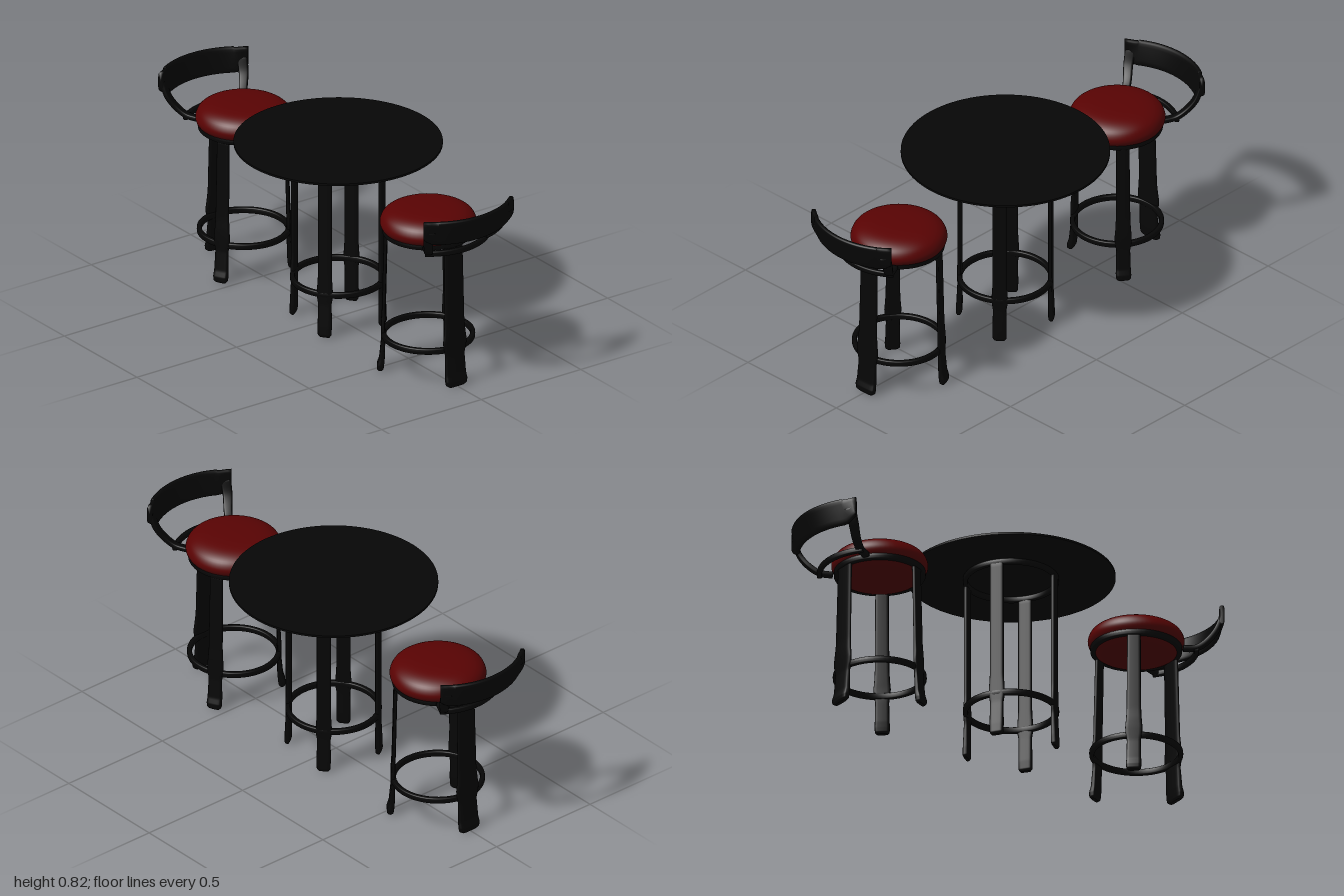
import * as THREE from 'three';

const black = new THREE.MeshStandardMaterial({ color: 0x060606 });
const red = new THREE.MeshStandardMaterial({ color: 0x590303 });
const V = (x, y, z) => new THREE.Vector3(x, y, z);
const soft = v => Math.sign(v) * Math.sqrt(Math.abs(v)); // rounds a circle towards a rectangle
const SIDES = 20;

function add(parent, name, geometry, material = black) {
  const mesh = new THREE.Mesh(geometry, material);
  mesh.name = name;
  parent.add(mesh);
  return mesh;
}

// Sweeps a rounded-rectangle section along a curve.
// hint(p, t): rough direction of the section's width; size(t): [half width, half depth]
function sweep(curve, steps, hint, size) {
  const pos = [], idx = [], stride = SIDES + 1;
  for (let i = 0; i <= steps; i++) {
    const t = i / steps, p = curve.getPoint(t), w = curve.getTangent(t);
    const u = hint(p, t);
    u.addScaledVector(w, -u.dot(w)).normalize();
    const v = V(0, 0, 0).crossVectors(w, u);
    const [a, b] = size(t);
    for (let j = 0; j < SIDES; j++) {
      const ang = j / SIDES * Math.PI * 2;
      const q = p.clone().addScaledVector(u, a * soft(Math.cos(ang))).addScaledVector(v, b * soft(Math.sin(ang)));
      pos.push(q.x, q.y, q.z);
    }
    pos.push(p.x, p.y, p.z); // section centre, used by the end caps
  }
  for (let j = 0; j < SIDES; j++) {
    const k = (j + 1) % SIDES;
    for (let i = 0; i < steps; i++) {
      const a = i * stride, b = a + stride;
      idx.push(a + j, a + k, b + k, a + j, b + k, b + j);
    }
    const e = steps * stride;
    idx.push(SIDES, k, j, e + SIDES, e + j, e + k);
  }
  const g = new THREE.BufferGeometry();
  g.setAttribute('position', new THREE.Float32BufferAttribute(pos, 3));
  g.setIndex(idx);
  g.computeVertexNormals();
  return g;
}

// Flat ring with rounded edges, lying around the y axis
function ring(radius, y, halfWidth, halfHeight) {
  const profile = [];
  for (let i = 0; i <= 16; i++) {
    const a = i / 16 * Math.PI * 2;
    profile.push(new THREE.Vector2(radius + halfWidth * soft(Math.cos(a)), y + halfHeight * soft(Math.sin(a))));
  }
  return new THREE.LatheGeometry(profile, 64);
}

// Piecewise-linear lookup of rows [y, ...values]
function lookup(rows, y) {
  let i = 0;
  while (i < rows.length - 2 && y > rows[i + 1][0]) i++;
  const a = rows[i], b = rows[i + 1];
  const k = THREE.MathUtils.clamp((y - a[0]) / (b[0] - a[0]), 0, 1);
  return a.slice(1).map((v, n) => v + (b[n + 1] - v) * k);
}

// Flat legs, swelling at the foot ring and kicked out at the floor
// rows: [y, half width, half depth, radius from centre]
function addLegs(parent, rows, degrees, widthScale = 1) {
  const curve = new THREE.Curve();
  const top = rows[rows.length - 1][0], low = rows[0][0];
  const yAt = t => low + (top - low) * t * t; // denser near the foot
  curve.getPoint = t => V(0, yAt(t), lookup(rows, yAt(t))[2]);
  curve.getTangent = () => V(0, 1, 0);
  const geometry = sweep(curve, 64, () => V(1, 0, 0), t => {
    const [a, b] = lookup(rows, yAt(t));
    return [a * widthScale, b];
  });
  for (const d of degrees) add(parent, 'leg', geometry).rotation.y = THREE.MathUtils.degToRad(d);
}

const stoolLeg = [
  [0.004, 0.036, 0.008, 0.194], [0.012, 0.048, 0.014, 0.194], [0.03, 0.051, 0.015, 0.193],
  [0.055, 0.049, 0.012, 0.188], [0.14, 0.046, 0.009, 0.183], [0.17, 0.054, 0.009, 0.183],
  [0.2, 0.057, 0.009, 0.183], [0.235, 0.052, 0.009, 0.182], [0.28, 0.048, 0.008, 0.18],
  [0.63, 0.044, 0.008, 0.172],
];
const tableLeg = [
  [0.004, 0.021, 0.007, 0.189], [0.014, 0.028, 0.012, 0.189], [0.05, 0.029, 0.012, 0.188],
  [0.15, 0.028, 0.009, 0.186], [0.18, 0.033, 0.009, 0.186], [0.21, 0.033, 0.009, 0.186],
  [0.27, 0.029, 0.009, 0.186], [0.775, 0.029, 0.009, 0.186],
];

// Horizontal arc about the z axis, from -angle to +angle
function arc(radius, angle, centreZ, height) {
  const c = new THREE.Curve();
  c.getPoint = t => {
    const a = (t * 2 - 1) * angle, r = radius(t);
    return V(r * Math.sin(a), height(t), centreZ + r * Math.cos(a));
  };
  return c;
}

function makeStool() {
  const stool = new THREE.Group();
  stool.name = 'stool';

  // Padded seat
  const half = [[0, 0.598], [0.1, 0.6], [0.15, 0.61], [0.18, 0.632], [0.195, 0.655], [0.195, 0.678],
    [0.18, 0.704], [0.145, 0.723], [0.09, 0.733], [0, 0.737]];
  const outline = new THREE.SplineCurve(half.map(p => new THREE.Vector2(...p))).getPoints(36);
  outline.forEach(p => { p.x = Math.max(p.x, 0); });
  add(stool, 'seatCushion', new THREE.LatheGeometry(outline, 64), red);
  add(stool, 'seatRing', ring(0.175, 0.631, 0.012, 0.014));
  add(stool, 'footRing', ring(0.181, 0.167, 0.01, 0.013));

  // One broad leg at the back, two slimmer ones in front
  addLegs(stool, stoolLeg, [0]);
  addLegs(stool, stoolLeg, [115, -128], 0.62);

  // Curved backrest, leaning outwards in the middle and narrowing at both ends
  const ends = t => THREE.MathUtils.smoothstep(Math.abs(t * 2 - 1), 0.75, 1);
  const lean = t => 0.55 * (1 - ends(t));
  add(stool, 'backrest', sweep(
    arc(t => 0.325 + 0.008 * ends(t), 0.72, 0.02, t => 0.765 + 0.014 * ends(t)), 48,
    (p, t) => V(p.x * lean(t), 1, p.z * lean(t)),
    t => [0.055 - 0.015 * ends(t), 0.011]));

  // Rail behind the seat
  add(stool, 'rearRail', sweep(arc(() => 0.245, 0.68, 0, () => 0.632), 32,
    p => V(p.x, 0, p.z), () => [0.01, 0.012]));

  // Arms rising from the seat ring into the backrest
  for (const s of [-1, 1]) {
    const path = new THREE.CatmullRomCurve3([
      V(s * 0.118, 0.632, 0.15), V(s * 0.143, 0.638, 0.197), V(s * 0.166, 0.665, 0.231),
      V(s * 0.19, 0.712, 0.261), V(s * 0.199, 0.775, 0.285)]);
    add(stool, 'backrestArm', sweep(path, 24, p => V(p.z, 0, -p.x),
      t => [0.016 + 0.007 * t * t, 0.011]));
  }
  return stool;
}

function makeTable() {
  const table = new THREE.Group();
  table.name = 'table';
  add(table, 'tableTop', new THREE.CylinderGeometry(0.425, 0.425, 0.009, 96)).position.y = 0.792;
  add(table, 'topRing', ring(0.186, 0.776, 0.01, 0.012));
  add(table, 'footRing', ring(0.186, 0.191, 0.01, 0.013));
  addLegs(table, tableLeg, [37, 127, 217, 307]);
  return table;
}

export function createModel() {
  const model = new THREE.Group();
  model.name = 'barTableSet';
  const table = makeTable();
  table.position.z = 0.015;
  model.add(table);
  // Two stools facing each other across the table
  for (const s of [1, -1]) {
    const stool = makeStool();
    stool.position.z = s * 0.635;
    stool.rotation.y = s > 0 ? 0 : Math.PI;
    model.add(stool);
  }
  return model;
}
